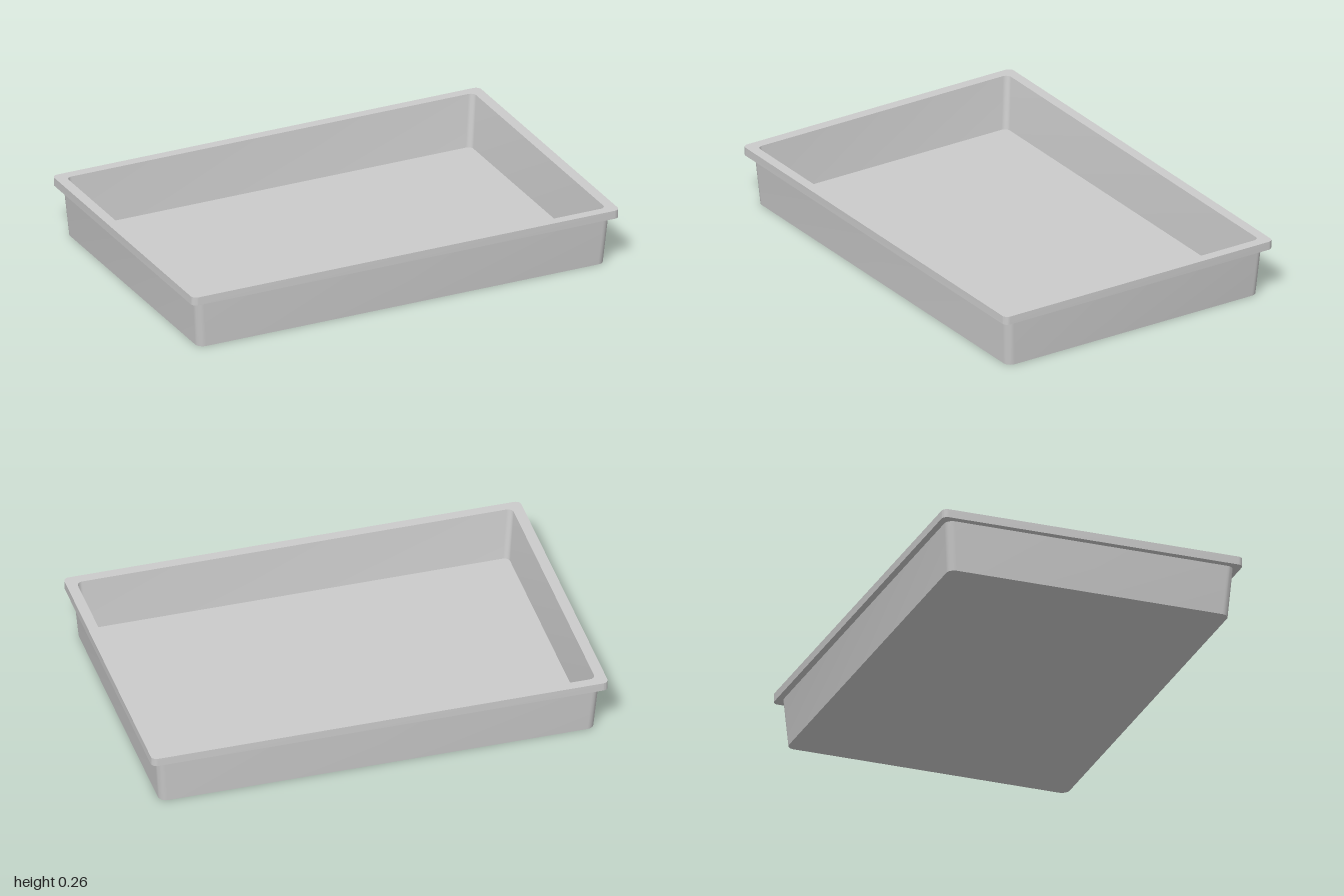
import * as THREE from 'three';
import { toCreasedNormals } from 'three/addons/utils/BufferGeometryUtils.js';

const CORNER_STEPS = 6;

// Rounded rectangle in the xz plane: half width, half depth, corner radius
function ring([hx, hz, r, y]) {
  const points = [];
  [[1, 1], [-1, 1], [-1, -1], [1, -1]].forEach(([sx, sz], corner) => {
    for (let i = 0; i <= CORNER_STEPS; i++) {
      const a = (corner + i / CORNER_STEPS) * Math.PI / 2;
      points.push([sx * (hx - r) + r * Math.cos(a), y, sz * (hz - r) + r * Math.sin(a)]);
    }
  });
  return points;
}

// Joins successive rings with walls and closes the first and last with flat faces
function loft(sections) {
  const rings = sections.map(ring);
  const n = rings[0].length;
  const vertices = [], index = [];
  rings.forEach(points => points.forEach(p => vertices.push(...p)));
  const last = rings.length - 1;
  const firstCentre = n * rings.length;
  vertices.push(0, sections[0][3], 0, 0, sections[last][3], 0);
  for (let j = 0; j < n; j++) {
    const k = (j + 1) % n;
    for (let i = 0; i < last; i++) {
      const a = i * n + j, b = i * n + k;
      index.push(a, a + n, b, b, a + n, b + n);
    }
    index.push(firstCentre, j, k);
    index.push(firstCentre + 1, last * n + k, last * n + j);
  }
  const geometry = new THREE.BufferGeometry();
  geometry.setAttribute('position', new THREE.Float32BufferAttribute(vertices, 3));
  geometry.setIndex(index);
  return toCreasedNormals(geometry, Math.PI / 6);
}

export function createModel() {
  const group = new THREE.Group();
  group.name = 'tray';
  const material = new THREE.MeshStandardMaterial({ color: 0xcccccc });

  // Tapered shell with a square-edged rim: half width, half depth, radius, height
  const shell = new THREE.Mesh(loft([
    [0.953, 0.633, 0.035, 0],      // underside
    [0.971, 0.649, 0.035, 0.219],  // outer wall up to the rim
    [1.0, 0.677, 0.025, 0.219],    // rim underside
    [1.0, 0.677, 0.025, 0.256],    // rim top
    [0.954, 0.633, 0.025, 0.256],  // opening
    [0.932, 0.612, 0.025, 0.02],   // inner floor
  ]), material);
  shell.name = 'trayShell';
  group.add(shell);

  return group;
}
